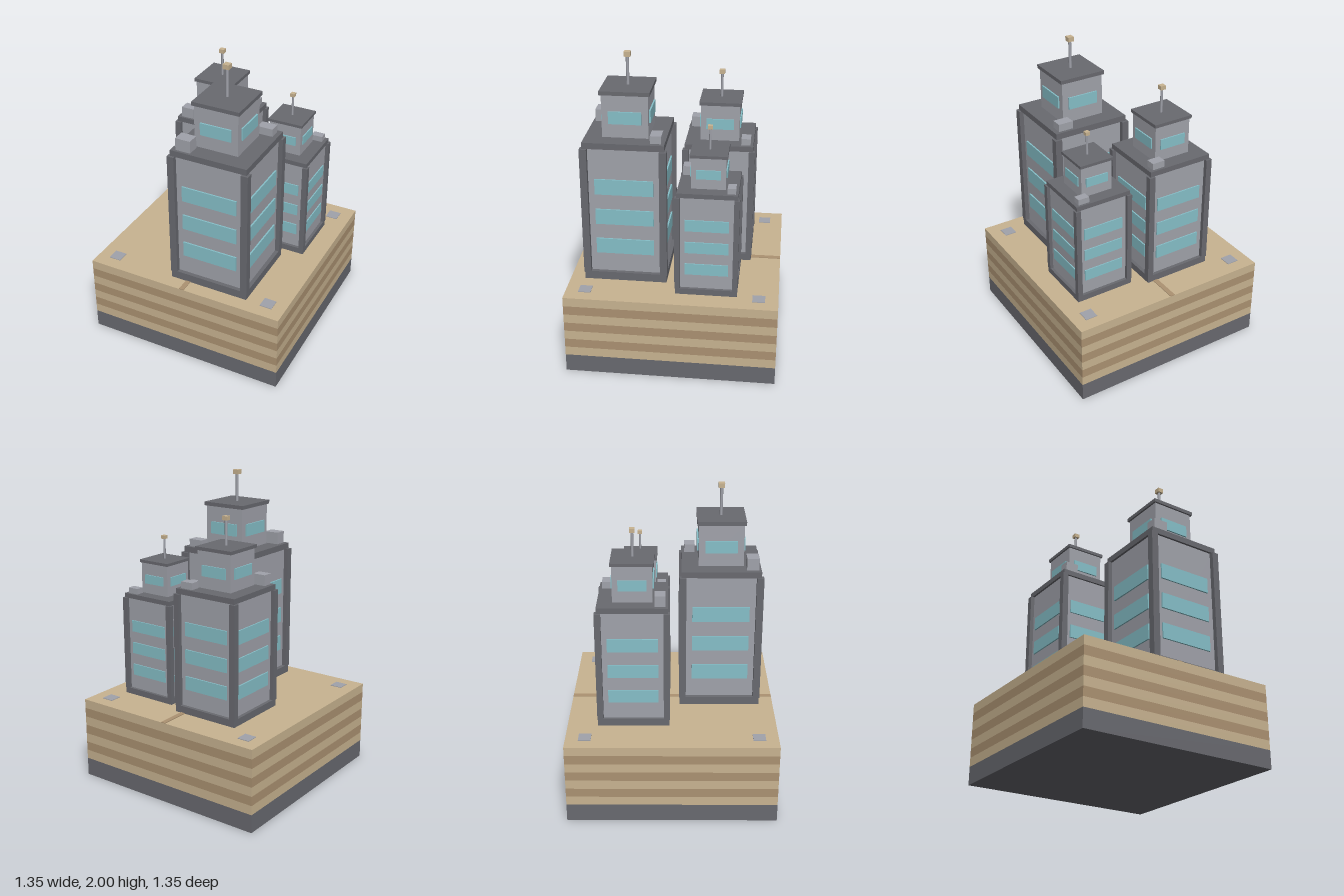
import * as THREE from 'three';

const flat = (name, color) => {
  const m = new THREE.MeshStandardMaterial({ color });
  m.name = name;
  return m;
};

export function createModel() {
  const sand = flat('sand', 0xc9b491);
  const earth = flat('brown earth', 0xac9272);
  const dark = flat('dark grey', 0x696a70);
  const wall = flat('wall grey', 0xa1a3ab);
  const glass = flat('pale cyan glass', 0x86c0c9);

  // Box given by its centre in x and z and its bottom in y
  const box = (parent, name, mat, w, h, d, x, y, z) => {
    const mesh = new THREE.Mesh(new THREE.BoxGeometry(w, h, d), mat);
    mesh.name = name;
    mesh.position.set(x, y + h / 2, z);
    parent.add(mesh);
    return mesh;
  };

  // One window on each of the four sides of a square block
  const windowRing = (parent, name, half, w, h, y) => {
    for (let i = 0; i < 4; i++) {
      const side = new THREE.Group();
      side.name = name + 'Side';
      side.rotation.y = i * Math.PI / 2;
      box(side, name, glass, w, h, 0.01, 0, y, half + 0.005);
      parent.add(side);
    }
  };

  const buildTower = (name) => {
    const t = new THREE.Group();
    t.name = name;
    // Main block between plinth and cornice
    box(t, 'plinth', dark, 0.532, 0.055, 0.532, 0, 0, 0);
    box(t, 'mainBlock', wall, 0.48, 0.855, 0.48, 0, 0.053, 0);
    box(t, 'cornice', dark, 0.51, 0.04, 0.51, 0, 0.905, 0);
    for (const sx of [-1, 1]) for (const sz of [-1, 1])
      box(t, 'cornerPost', dark, 0.046, 0.855, 0.046, sx * 0.247, 0.05, sz * 0.247);
    for (let i = 0; i < 3; i++)
      windowRing(t, 'window', 0.24, 0.37, 0.103, 0.186 + i * 0.206);
    // Rooftop units
    box(t, 'roofUnitTall', wall, 0.1, 0.08, 0.078, -0.175, 0.945, 0.2);
    box(t, 'roofUnitLow', wall, 0.1, 0.05, 0.07, 0.175, 0.945, -0.2);
    // Upper block with its roof slab
    box(t, 'upperBlock', wall, 0.29, 0.277, 0.29, 0, 0.944, 0);
    windowRing(t, 'upperWindow', 0.145, 0.206, 0.08, 1.035);
    box(t, 'upperRoof', dark, 0.313, 0.025, 0.313, 0, 1.22, 0);
    // Mast with its tip
    const mast = new THREE.Mesh(new THREE.CylinderGeometry(0.01, 0.01, 0.185, 8), wall);
    mast.name = 'mast';
    mast.position.y = 1.335;
    t.add(mast);
    box(t, 'mastTip', sand, 0.04, 0.03, 0.04, 0, 1.425, 0);
    return t;
  };

  const model = new THREE.Group();
  model.name = 'towersOnBlock';

  // Layered ground block
  const size = 1.35, top = 0.545, bottom = 0.12, layers = 7;
  box(model, 'foundation', dark, size, bottom, size, 0, 0, 0);
  const step = (top - bottom) / layers;
  for (let i = 0; i < layers; i++)
    box(model, 'groundLayer', i % 2 ? earth : sand, size, step, size, 0, bottom + i * step, 0);

  // Path and corner slabs on the ground
  box(model, 'path', earth, 0.032, 0.004, size, 0, top, 0);
  for (const sx of [-1, 1]) for (const sz of [-1, 1])
    box(model, 'cornerSlab', wall, 0.08, 0.004, 0.08, sx * 0.552, top, sz * 0.552);

  // Three towers of the same design: x, z, scale
  const towers = [
    ['frontTower', 0.147, 0.315, 1],
    ['rightTower', -0.174, -0.247, 0.866],
    ['leftTower', 0.345, -0.217, 0.737],
  ];
  for (const [name, x, z, s] of towers) {
    const t = buildTower(name);
    t.position.set(x, top, z);
    t.scale.setScalar(s);
    model.add(t);
  }
  return model;
}
